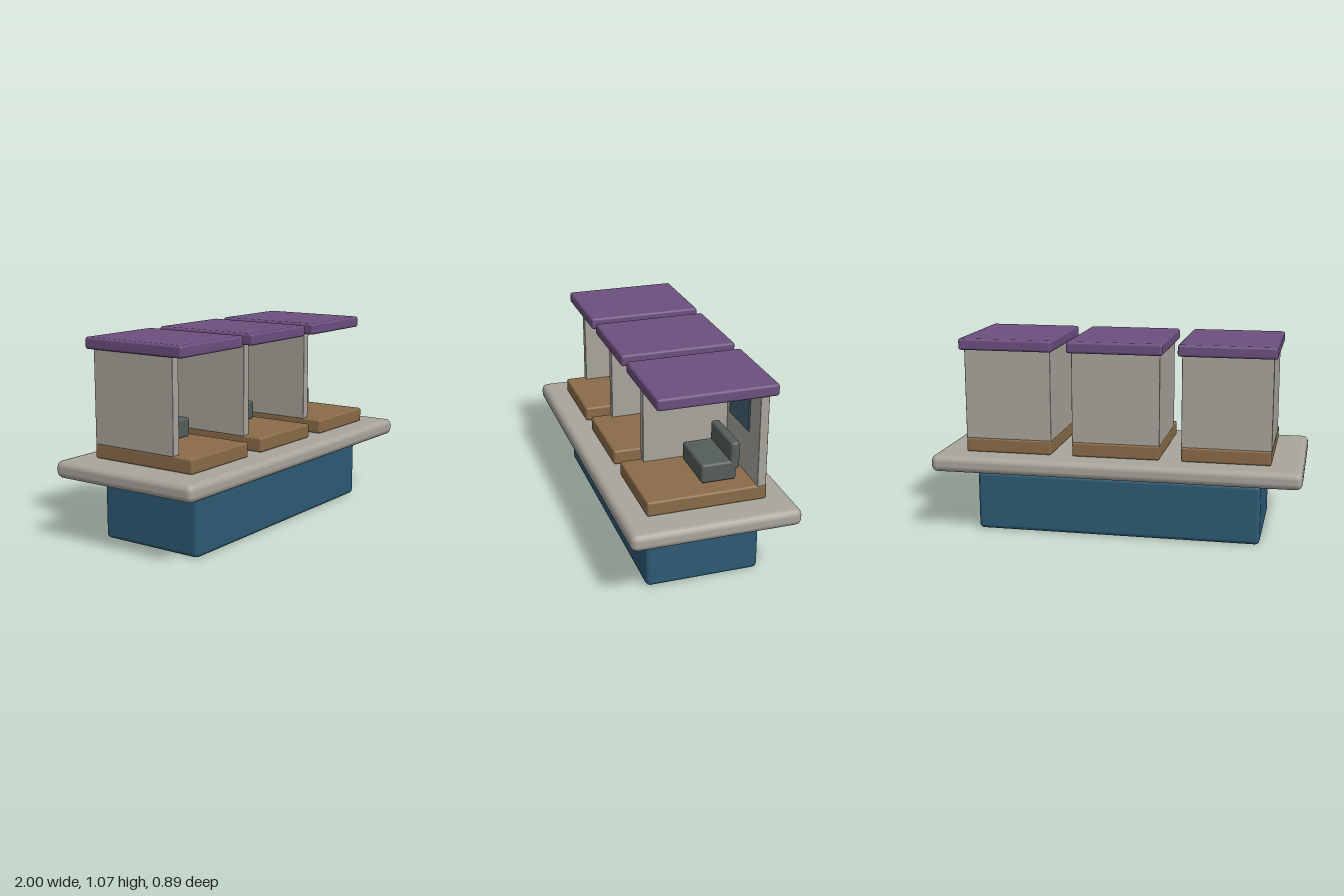
import * as THREE from 'three';
import { RoundedBoxGeometry } from 'three/addons/geometries/RoundedBoxGeometry.js';

function material(name, color) {
  const m = new THREE.MeshStandardMaterial({ color });
  m.name = name;
  return m;
}

// Soft-edged box given by its [min, max] extent on each axis
function block(name, mat, [x0, x1], [y0, y1], [z0, z1], radius) {
  const geometry = radius
    ? new RoundedBoxGeometry(x1 - x0, y1 - y0, z1 - z0, 2, radius)
    : new THREE.BoxGeometry(x1 - x0, y1 - y0, z1 - z0);
  const mesh = new THREE.Mesh(geometry, mat);
  mesh.name = name;
  mesh.position.set((x0 + x1) / 2, (y0 + y1) / 2, (z0 + z1) / 2);
  return mesh;
}

export function createModel() {
  const stone = material('warm grey', 0xa8a59c);
  const blue = material('deep blue', 0x2c5a74);
  const gold = material('gold', 0xa98333);
  const wood = material('wood brown', 0x8a6b48);
  const purple = material('purple', 0x6b4f7e);
  const seatGrey = material('seat grey', 0x555d5b);
  const glass = material('window blue', 0x456370);

  const model = new THREE.Group();
  model.name = 'boothStand';

  // Plinth, trim and table slab
  model.add(
    block('plinth', blue, [-0.78, 0.78], [0, 0.33], [-0.306, 0.306], 0.025),
    block('trim', gold, [-0.797, 0.797], [0.326, 0.356], [-0.327, 0.327], 0.01),
    block('slab', stone, [-1, 1], [0.351, 0.443], [-0.447, 0.447], 0.035)
  );

  // Three booths, open at the front and on the +x side
  for (const x of [-0.594, 0, 0.594]) {
    const booth = new THREE.Group();
    booth.name = 'booth';
    booth.position.x = x;
    booth.add(
      block('floor', wood, [-0.239, 0.239], [0.443, 0.523], [-0.316, 0.318], 0.012),
      block('backWall', stone, [-0.239, 0.239], [0.518, 1.015], [-0.31, -0.263], 0.004),
      block('sideWall', stone, [-0.239, -0.192], [0.518, 1.015], [-0.309, 0.204], 0.004),
      block('window', glass, [-0.127, 0.127], [0.777, 0.973], [-0.257, -0.249], 0),
      block('seat', seatGrey, [-0.148, 0.148], [0.53, 0.634], [-0.184, 0.003], 0.014),
      block('seatBack', seatGrey, [-0.148, 0.148], [0.585, 0.734], [-0.202, -0.153], 0.014),
      block('roof', purple, [-0.258, 0.258], [1.011, 1.074], [-0.354, 0.274], 0.014)
    );
    model.add(booth);
  }
  return model;
}
